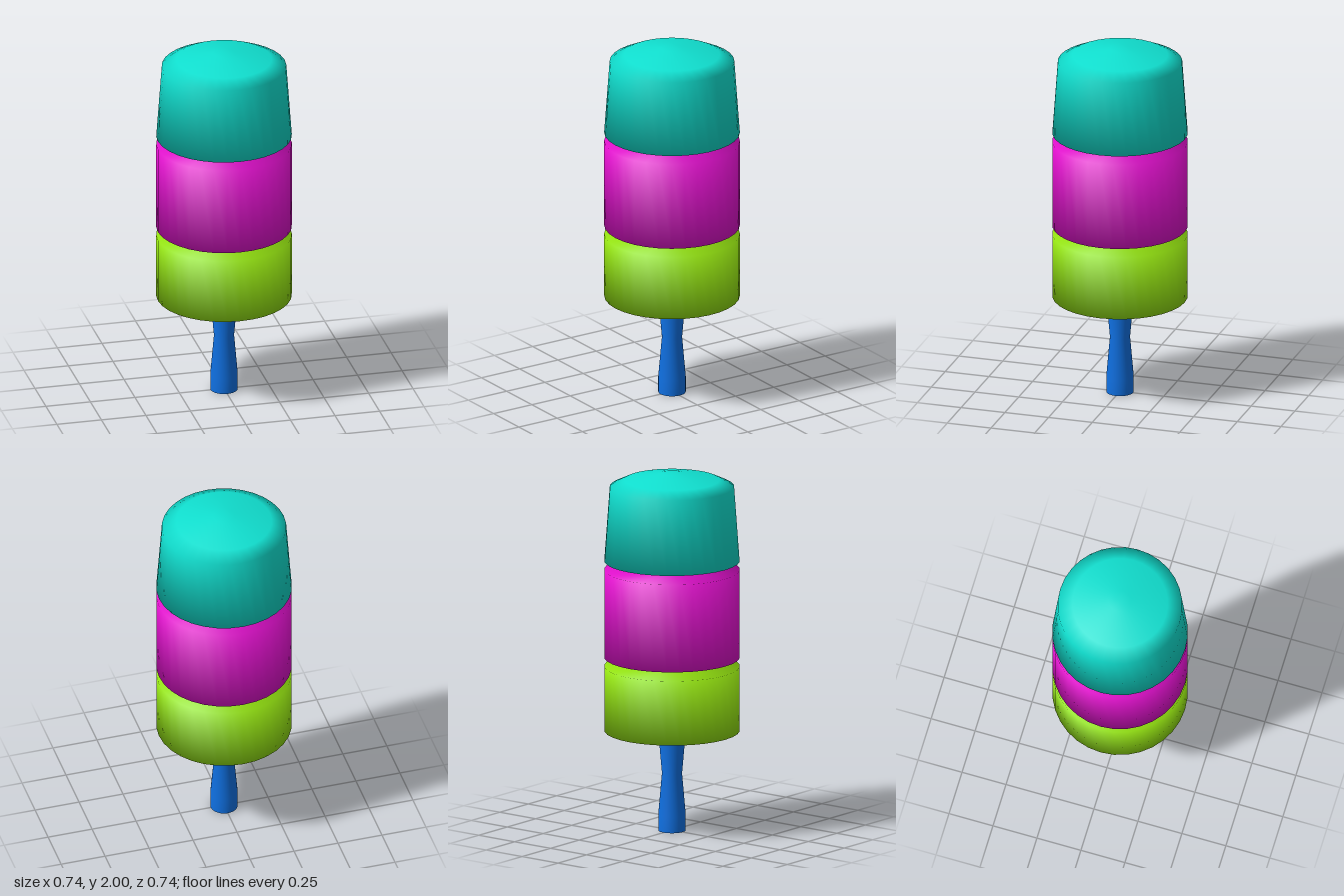
import * as THREE from 'three';

const SIDES = 32;

// Turns a [radius, height] profile, listed from bottom to top, around the y axis
function turned(name, color, profile) {
  const points = profile.map(([r, y]) => new THREE.Vector2(r, y));
  const mesh = new THREE.Mesh(
    new THREE.LatheGeometry(points, SIDES),
    new THREE.MeshStandardMaterial({ color })
  );
  mesh.name = name;
  return mesh;
}

// Closed straight drum
const drum = (r, bottom, top) => [[0, bottom], [r, bottom], [r, top], [0, top]];

export function createModel() {
  const model = new THREE.Group();
  model.name = 'stackedPop';

  // Waisted stick running up through all the blocks
  model.add(turned('stick', 0x0f6fe0, [
    [0.075, 0], [0.075, 0.09], [0.055, 0.32], [0.075, 0.55], [0.075, 1.6],
  ]));
  const base = new THREE.Mesh(
    new THREE.CircleGeometry(0.075, SIDES).rotateX(Math.PI / 2),
    new THREE.MeshStandardMaterial({ color: 0x0f6fe0 })
  );
  base.name = 'stickBase';
  model.add(base);

  // Two straight blocks with small gaps between them
  model.add(turned('lowerBlock', 0x92e010, drum(0.37, 0.56, 0.92)));
  model.add(turned('middleBlock', 0xe010cc, drum(0.37, 0.97, 1.46)));

  // Tapered top block with a shallow dome
  model.add(turned('topBlock', 0x10e0d0, [
    [0, 1.51], [0.37, 1.51], [0.34, 1.925], [0.26, 1.963], [0.06, 2], [0, 2],
  ]));

  return model;
}
